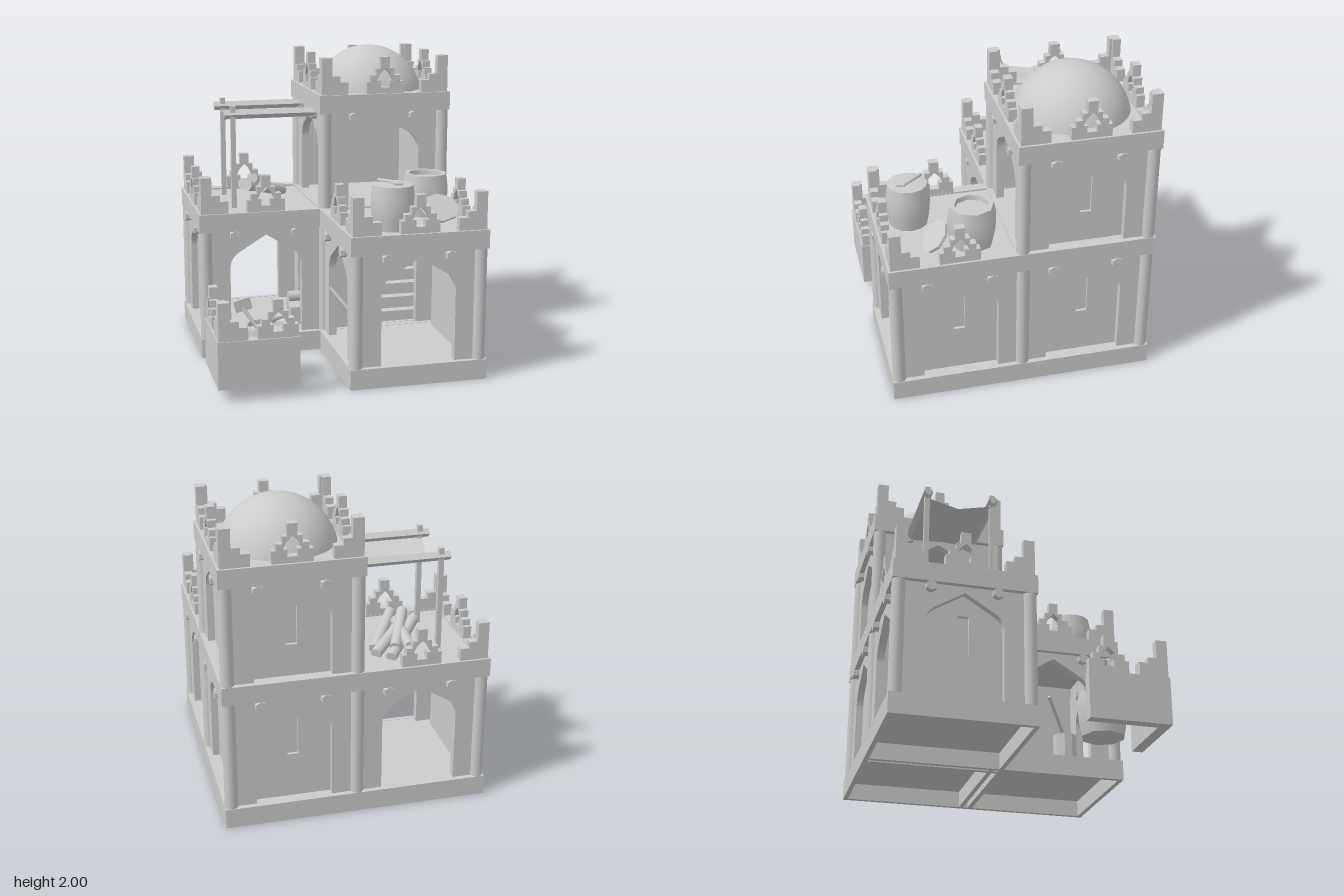
import * as THREE from 'three';
import { toCreasedNormals } from 'three/addons/utils/BufferGeometryUtils.js';

const mat = new THREE.MeshStandardMaterial({ color: 0xcccccc });
const flat = new THREE.MeshStandardMaterial({ color: 0xcccccc, flatShading: true });
const thin = new THREE.MeshStandardMaterial({ color: 0xcccccc, side: THREE.DoubleSide });

function add(parent, name, geo, x = 0, y = 0, z = 0, m = mat) {
  const mesh = new THREE.Mesh(geo, m);
  mesh.name = name;
  mesh.position.set(x, y, z);
  parent.add(mesh);
  return mesh;
}
function group(parent, name, x = 0, y = 0, z = 0, ry = 0) {
  const g = new THREE.Group();
  g.name = name;
  g.position.set(x, y, z);
  g.rotation.y = ry;
  parent.add(g);
  return g;
}
// Box given by its min and max corners
function box(parent, name, x0, x1, y0, y1, z0, z1) {
  return add(parent, name, new THREE.BoxGeometry(x1 - x0, y1 - y0, z1 - z0),
    (x0 + x1) / 2, (y0 + y1) / 2, (z0 + z1) / 2);
}
// Round rod between two points
function rod(parent, name, a, b, r, r2 = r, sides = 8) {
  const p = new THREE.Vector3(...a), q = new THREE.Vector3(...b), d = q.clone().sub(p);
  const m = add(parent, name, new THREE.CylinderGeometry(r2, r, d.length(), sides), ...p.add(q).multiplyScalar(0.5));
  m.quaternion.setFromUnitVectors(new THREE.Vector3(0, 1, 0), d.normalize());
  return m;
}
const shapeOf = (pts) => new THREE.Shape(pts.map(([x, y]) => new THREE.Vector2(x, y)));
const mirrored = (half) => [...half, ...half.map(([x, y]) => [-x, y]).reverse()];
const extrude = (shape, depth) => new THREE.ExtrudeGeometry(shape, { depth, bevelEnabled: false });

const C = 0.4;      // cell pitch is 2 * C
const HALF = 0.443; // half width of bands

// Wall with a pointed arch, either open or backed by a panel with a slit window
function wall(cell, side, y, h, open) {
  const g = group(cell, open ? 'archWall' : 'windowWall', 0, y, 0, side * Math.PI / 2);
  const s = shapeOf([[-C, 0], [-0.24, 0]]);
  const apex = h - 0.04, spring = apex - 0.22;
  s.lineTo(-0.24, spring);
  s.quadraticCurveTo(-0.24, spring + 0.07, -0.18, spring + 0.11);
  s.lineTo(0, apex);
  s.lineTo(0.18, spring + 0.11);
  s.quadraticCurveTo(0.24, spring + 0.07, 0.24, spring);
  s.lineTo(0.24, 0);
  s.lineTo(C, 0);
  s.lineTo(C, h);
  s.lineTo(-C, h);
  add(g, 'arch', extrude(s, 0.05), 0, 0, 0.36);
  if (!open) {
    const p = shapeOf([[-0.26, 0], [0.26, 0], [0.26, h], [-0.26, h]]);
    const w = apex - 0.385;
    p.holes.push(new THREE.Path(shapeOf([[-0.035, w], [-0.035, w + 0.25], [0.035, w + 0.25], [0.035, w]]).getPoints()));
    add(g, 'nichePanel', extrude(p, 0.02), 0, 0, 0.345);
    box(g, 'windowBack', -0.3, 0.3, 0, h, 0.325, 0.345);
  }
  // Hexagonal beam ends below the band
  for (const x of [-0.21, 0.197]) {
    const b = add(g, 'beamEnd', new THREE.CylinderGeometry(0.034, 0.034, 0.1, 6), x, h - 0.03, 0.4, flat);
    b.rotation.x = Math.PI / 2;
  }
}
// Square ring with a floor set into it
function band(cell, name, y0, y1, floorY, rim = 0.07) {
  const s = shapeOf([[-HALF, -HALF], [HALF, -HALF], [HALF, HALF], [-HALF, HALF]]), i = HALF - rim;
  s.holes.push(new THREE.Path(shapeOf([[-i, -i], [-i, i], [i, i], [i, -i]]).getPoints()));
  const ring = add(cell, name, extrude(s, y1 - y0), 0, y1, 0);
  ring.rotation.x = Math.PI / 2;
  box(cell, 'floor', -i, i, floorY - 0.02, floorY, -i, i);
}
function columns(cell, y, h) {
  for (const x of [-C, C]) for (const z of [-C, C])
    add(cell, 'column', new THREE.CylinderGeometry(0.042, 0.042, h, 14), x, y + h / 2, z);
}
// Stepped battlement with a spade-shaped hole
function merlon(parent, x, y, z, ry) {
  const s = shapeOf(mirrored([[0.125, 0], [0.125, 0.08], [0.1, 0.08], [0.1, 0.12], [0.06, 0.12],
    [0.06, 0.165], [0.03, 0.165], [0.03, 0.24]]));
  s.holes.push(new THREE.Path(shapeOf(mirrored([[0.03, 0.04], [0.03, 0.085], [0.055, 0.085],
    [0.035, 0.13], [0.001, 0.163]])).getPoints()));
  const g = group(parent, 'merlon', x, y, z, ry);
  add(g, 'merlonBlock', extrude(s, 0.052), 0, 0, -0.026);
}
// Stepped corner battlement; sx and sz point outwards
function corner(parent, x, y, z, sx, sz) {
  const g = group(parent, 'cornerBattlement', x, y, z), t = 0.052;
  for (const [a, b, h] of [[0, 0.07, 0.24], [0.07, 0.125, 0.12], [0.125, 0.18, 0.08]]) {
    const m = (a + b) / 2, w = b - a;
    add(g, 'step', new THREE.BoxGeometry(w, h, t), -sx * m, h / 2, -sz * t / 2);
    add(g, 'step', new THREE.BoxGeometry(t, h, w), -sx * t / 2, h / 2, -sz * m);
  }
}
function parapet(cell, y, sides, corners) {
  const o = HALF - 0.015;
  for (const s of sides) {
    const a = s * Math.PI / 2;
    merlon(cell, Math.sin(a) * (o - 0.026), y, Math.cos(a) * (o - 0.026), a);
  }
  for (const [sx, sz] of corners) corner(cell, sx * o, y, sz * o, sx, sz);
}
function barrel(parent, x, y, z, r, h, open, sides) {
  const p = [[0, 0], [0.87, 0], [0.96, 0.25], [1, 0.5], [0.98, 0.75], [0.9, 1]];
  p.push(...(open ? [[0.7, 1], [0.68, 0.88], [0, 0.88]] : [[0.8, 1.01], [0, 1.02]]));
  const geo = new THREE.LatheGeometry(p.map(([a, b]) => new THREE.Vector2(a * r, b * h)), sides);
  return add(parent, 'barrel', toCreasedNormals(geo, 0.9), x, y, z, thin);
}

export function createModel() {
  const model = new THREE.Group();
  model.name = 'desertHouse';
  const wing = group(model, 'leftWing', -0.395, 0, -0.405);
  const tower = group(model, 'tower', 0.407, 0, -0.405);
  const front = group(model, 'frontRoom', 0.407, 0, 0.39);

  // Ground floor: sides are 0 front, 1 +x, 2 back, 3 -x
  for (const [cell, open, closed] of [[wing, [0, 2, 1], [3]], [tower, [0], [1, 2]], [front, [0, 3], [1]]]) {
    band(cell, 'base', 0, 0.13, 0.128, 0.03);
    columns(cell, 0.13, 0.72);
    open.forEach((s) => wall(cell, s, 0.13, 0.72, true));
    closed.forEach((s) => wall(cell, s, 0.13, 0.72, false));
    band(cell, 'roofBand', 0.85, 0.97, 0.96);
  }
  parapet(wing, 0.97, [0, 2, 3], [[-1, -1], [-1, 1]]);
  parapet(front, 0.97, [0, 1, 3], [[-1, 1], [1, 1]]);

  // Upper tower and dome
  columns(tower, 0.97, 0.63);
  for (let s = 0; s < 4; s++) wall(tower, s, 0.97, 0.63, s === 0 || s === 3);
  band(tower, 'towerBand', 1.6, 1.72, 1.71);
  parapet(tower, 1.72, [0, 1, 2, 3], [[-1, -1], [-1, 1], [1, -1], [1, 1]]);
  add(tower, 'dome', new THREE.SphereGeometry(0.373, 48, 20, 0, Math.PI * 2, 0, Math.PI / 2), 0, 1.627, 0);

  // Staircase inside the tower
  for (let i = 0; i < 9; i++)
    box(model, 'stairStep', 0.31, 0.74, 0.12, 0.2 + i * 0.077, -0.12 - i * 0.07, -0.05 - i * 0.07);

  // Awning on the wing roof
  const awning = group(model, 'awning');
  for (const z of [-0.605, -0.185]) {
    const rail = box(awning, 'rail', -0.63, -0.02, 1.564, 1.606, z - 0.021, z + 0.021);
    rail.rotation.x = Math.PI / 4;
    box(awning, 'post', -0.588, -0.556, 0.96, 1.64, z - 0.016, z + 0.016);
  }
  const cloth = new THREE.PlaneGeometry(0.56, 0.42, 8, 8).rotateX(-Math.PI / 2);
  const cp = cloth.attributes.position;
  for (let i = 0; i < cp.count; i++) {
    const u = cp.getX(i) / 0.28, v = cp.getZ(i) / 0.21;
    cp.setX(i, 0.28 * u * (1 - 0.2 * (1 - Math.abs(v))));
    cp.setY(i, -0.035 * (1 - Math.abs(v)) * (1 - 0.5 * Math.abs(u)));
  }
  cloth.computeVertexNormals();
  add(awning, 'cloth', cloth, -0.315, 1.555, -0.395, thin);

  // Leaning firewood on the wing roof
  const logs = group(model, 'firewood');
  for (const [x, y, z, swing] of [[-0.36, 1.02, -0.54, 0], [-0.31, 1.02, -0.47, 0.03], [-0.27, 1.02, -0.4, -0.02],
    [-0.35, 1.06, -0.49, -0.05]])
    rod(logs, 'log', [x + 0.12 + swing, y - 0.04, z - 0.16], [x - 0.12 - swing, y + 0.06, z + 0.16], 0.036, 0.036, 10);
  rod(logs, 'log', [-0.36, 1.04, -0.7], [-0.37, 1.07, -0.36], 0.036, 0.036, 10);
  // Firewood and crates on the ground floor
  for (const [y, z] of [[0.165, -0.5], [0.165, -0.42], [0.23, -0.46]])
    rod(logs, 'log', [-0.15, y, z], [0.15, y, z], 0.036, 0.036, 10);
  box(model, 'crate', -0.2, -0.09, 0.125, 0.25, -0.24, -0.13);
  box(model, 'crate', -0.06, 0.03, 0.125, 0.22, -0.26, -0.17);
  box(model, 'crate', -0.1, -0.02, 0.22, 0.3, -0.26, -0.18);

  // Bucket with a leaning stick in the front room
  add(model, 'bucket', new THREE.CylinderGeometry(0.08, 0.08, 0.2, 10), 0.14, 0.225, 0.5, flat);
  rod(model, 'stick', [0.13, 0.3, 0.5], [-0.045, 0.52, 0.34], 0.012);

  // Barrels, lid and ladle on the front roof
  barrel(model, 0.29, 0.96, 0.61, 0.142, 0.28, false, 12);
  rod(model, 'ladleHandle', [0.22, 1.25, 0.51], [0.32, 1.25, 0.63], 0.012);
  const ladle = add(model, 'ladleHead', new THREE.CylinderGeometry(0.04, 0.04, 0.015, 5), 0.305, 1.25, 0.65, flat);
  ladle.rotation.y = 0.6;
  barrel(model, 0.61, 0.96, 0.27, 0.155, 0.27, true, 8);
  const lid = add(model, 'barrelLid', new THREE.CylinderGeometry(0.13, 0.13, 0.02, 8), 0.63, 1.045, 0.505, flat);
  lid.scale.z = 0.8;
  lid.rotation.x = 0.8;

  // Separate corner wall with its own barrel
  const yard = group(model, 'cornerWall');
  box(yard, 'wallFront', -0.857, -0.352, 0.08, 0.38, 0.775, 0.845);
  box(yard, 'wallSide', -0.857, -0.79, 0.08, 0.38, 0.335, 0.775);
  corner(yard, -0.85, 0.38, 0.838, -1, 1);
  merlon(yard, -0.485, 0.38, 0.81, 0);
  merlon(yard, -0.823, 0.38, 0.465, Math.PI / 2);
  barrel(yard, -0.515, 0.09, 0.53, 0.155, 0.28, true, 8);
  rod(yard, 'malletHandle', [-0.55, 0.34, 0.55], [-0.645, 0.48, 0.5], 0.012);
  const mallet = box(yard, 'malletHead', -0.695, -0.59, 0.46, 0.535, 0.48, 0.51);
  mallet.rotation.z = 0.25;
  rod(yard, 'paddleHandle', [-0.51, 0.34, 0.51], [-0.46, 0.43, 0.59], 0.012, 0.024);
  rod(yard, 'paddleBlade', [-0.46, 0.43, 0.59], [-0.4, 0.47, 0.69], 0.024, 0.004);
  return model;
}
